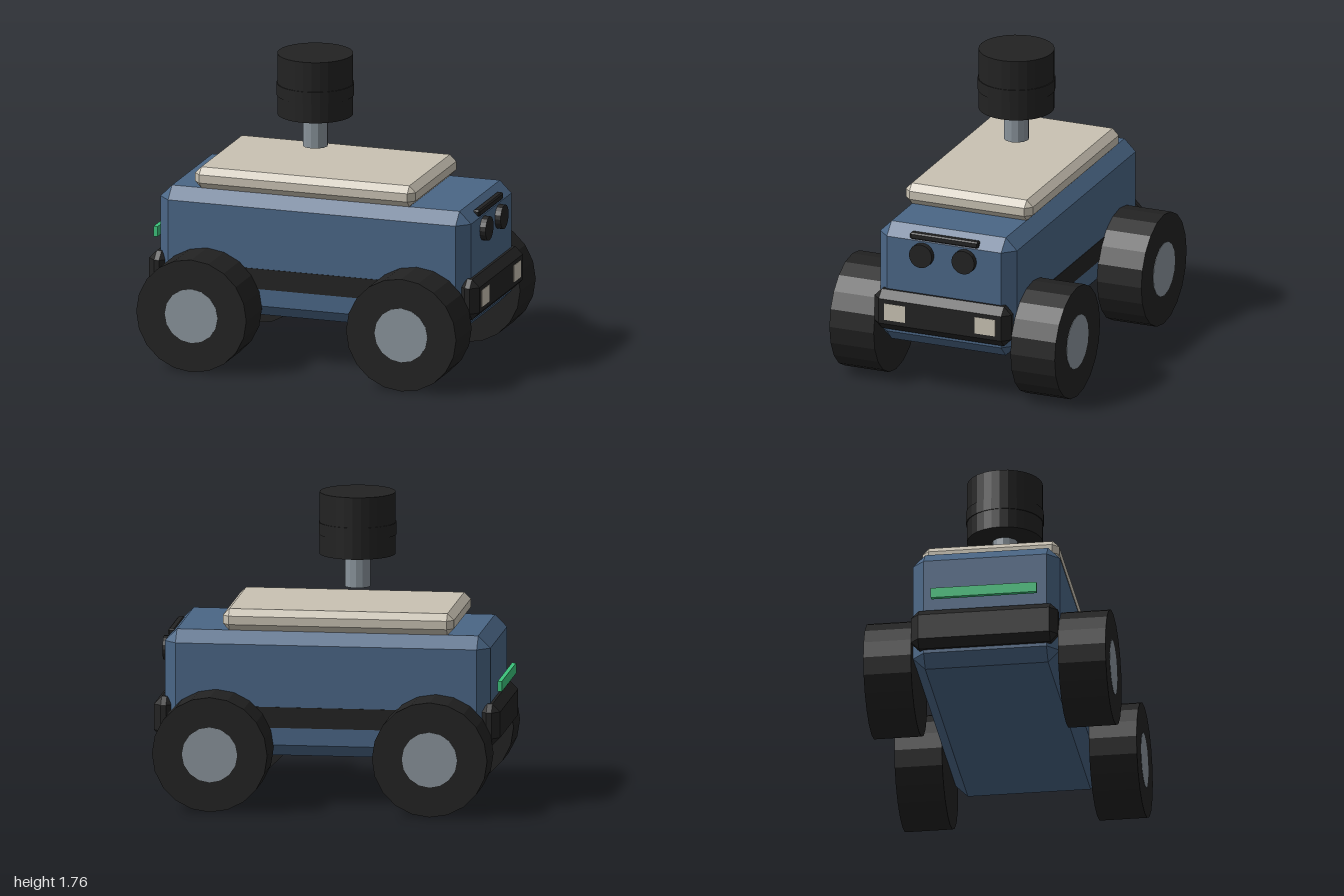
import * as THREE from 'three';
import { ConvexGeometry } from 'three/addons/geometries/ConvexGeometry.js';

const mat = (name, color) => Object.assign(new THREE.MeshStandardMaterial({ color }), { name });

// Faceted copy of a geometry
function flat(geo) {
  const g = geo.index ? geo.toNonIndexed() : geo;
  g.computeVertexNormals();
  return g;
}

// Box from min to max on each axis, with all edges cut by b
function chamferBox([x0, x1], [y0, y1], [z0, z1], b) {
  const h = [(x1 - x0) / 2, (y1 - y0) / 2, (z1 - z0) / 2];
  const points = [];
  for (const sx of [-1, 1]) for (const sy of [-1, 1]) for (const sz of [-1, 1]) {
    for (let axis = 0; axis < 3; axis++) {
      const [px, py, pz] = h.map((v, i) => (i === axis ? v : v - b));
      points.push(new THREE.Vector3(sx * px, sy * py, sz * pz));
    }
  }
  return new ConvexGeometry(points).translate((x0 + x1) / 2, (y0 + y1) / 2, (z0 + z1) / 2);
}

const cylinder = (r, h, sides) => flat(new THREE.CylinderGeometry(r, r, h, sides));

export function createModel() {
  const blue = mat('body blue', 0x4a6686);
  const black = mat('rubber black', 0x222222);
  const cream = mat('deck cream', 0xc9c2b3);
  const grey = mat('metal grey', 0x8a949c);
  const green = mat('light green', 0x3cc47c);

  const group = new THREE.Group();
  group.name = 'rover';
  const add = (name, geo, material, x = 0, y = 0, z = 0) => {
    const mesh = new THREE.Mesh(geo, material);
    mesh.name = name;
    mesh.position.set(x, y, z);
    group.add(mesh);
    return mesh;
  };

  // Hull and top deck
  add('body', chamferBox([-0.94, 0.94], [0.28, 1.0], [-0.425, 0.425], 0.07), blue);
  add('deck', chamferBox([-0.73, 0.605], [1.0, 1.125], [-0.395, 0.395], 0.038), cream);

  // Scanner floating above the deck on its stem
  const sx = -0.125;
  add('scannerStem', cylinder(0.073, 0.2, 12), grey, sx, 1.31);
  add('scannerHead', cylinder(0.218, 0.36, 28), black, sx, 1.58);
  add('scannerRing', cylinder(0.223, 0.07, 28), black, sx, 1.55);

  // Wheels with flush hubs
  const wheelGeo = cylinder(0.333, 0.275, 20).rotateX(Math.PI / 2);
  const hubGeo = cylinder(0.16, 0.27, 16).rotateX(Math.PI / 2);
  for (const x of [-0.635, 0.635]) for (const s of [-1, 1]) {
    add('wheel', wheelGeo, black, x, 0.333, s * 0.5625);
    add('hub', hubGeo, grey, x, 0.333, s * 0.567);
  }

  // Bumpers at both ends
  add('frontBumper', chamferBox([0.88, 1.0], [0.37, 0.61], [-0.425, 0.425], 0.045), black);
  add('rearBumper', chamferBox([-1.0, -0.88], [0.37, 0.61], [-0.425, 0.425], 0.045), black);

  for (const s of [-1, 1]) {
    // Side strips, headlights and camera eyes
    add('sideStrip', new THREE.BoxGeometry(1.3, 0.12, 0.008), black, 0, 0.51, s * 0.424);
    add('headlight', new THREE.BoxGeometry(0.008, 0.1, 0.13), cream, 0.998, 0.49, s * 0.28);
    add('cameraEye', cylinder(0.071, 0.06, 18).rotateZ(Math.PI / 2), black, 0.945, 0.85, s * 0.132);
  }

  // Brow over the eyes and tail light bar
  add('brow', chamferBox([0.9, 0.942], [0.933, 0.973], [-0.212, 0.212], 0.008), black);
  add('tailLight', new THREE.BoxGeometry(0.025, 0.06, 0.61), green, -0.9875, 0.7);

  return group;
}
